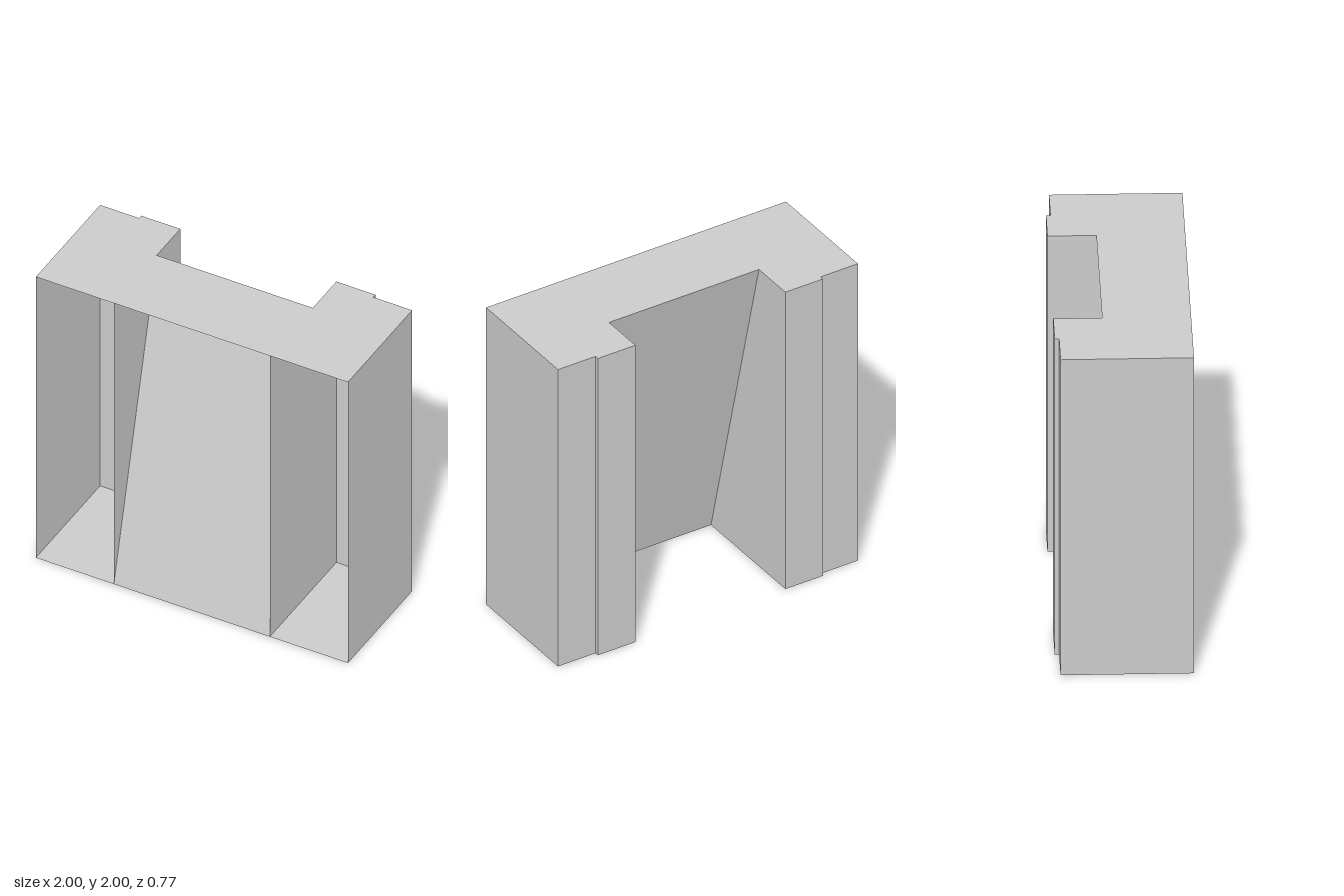
import * as THREE from 'three';

const material = new THREE.MeshStandardMaterial({ color: 0xcccccc, flatShading: true, side: THREE.DoubleSide });
const H = 2, FRONT = 0.3875, BACK = -0.3875, STEP = -0.3625, LEDGE = -0.1125;

function addMesh(parent, name, geometry) {
  const mesh = new THREE.Mesh(geometry, material);
  mesh.name = name;
  parent.add(mesh);
  return mesh;
}

// Upright sheet standing on the ground line between two [x, z] points
function wall(parent, name, [x0, z0], [x1, z1]) {
  const mesh = addMesh(parent, name, new THREE.PlaneGeometry(Math.hypot(x1 - x0, z1 - z0), H));
  mesh.position.set((x0 + x1) / 2, H / 2, (z0 + z1) / 2);
  mesh.rotation.y = Math.atan2(z0 - z1, x1 - x0);
}

// Level sheet with an outline of [x, z] points
function slab(parent, name, outline, y) {
  const shape = new THREE.Shape(outline.map(([x, z]) => new THREE.Vector2(x, -z)));
  addMesh(parent, name, new THREE.ShapeGeometry(shape).rotateX(-Math.PI / 2)).position.y = y;
}

export function createModel() {
  const model = new THREE.Group();
  model.name = 'frame';

  // Plan of one side pier, from the inner front corner around the stepped back
  const pierPlan = (s) => [[0.5, FRONT], [0.5, BACK], [0.75, BACK], [0.75, STEP], [1, STEP], [1, FRONT]]
    .map(([x, z]) => [s * x, z]);
  const wallNames = ['innerWall', 'innerBackWall', 'backStep', 'outerBackWall', 'outerWall'];

  // Two hollow piers, open at the front
  for (const s of [1, -1]) {
    const pier = new THREE.Group();
    pier.name = s > 0 ? 'leftPier' : 'rightPier';
    const plan = pierPlan(s);
    wallNames.forEach((name, i) => wall(pier, name, plan[i], plan[i + 1]));
    slab(pier, 'floor', plan, 0);
    slab(pier, 'pierTop', plan, H);
    model.add(pier);
  }

  // Top sheet bridging the piers
  slab(model, 'bridgeTop', [[-0.5, FRONT], [0.5, FRONT], [0.5, LEDGE], [-0.5, LEDGE]], H);

  // Sloping panel from the front at the ground to the ledge at the top
  const run = FRONT - LEDGE;
  const panel = addMesh(model, 'slopingPanel', new THREE.PlaneGeometry(1, Math.hypot(H, run)));
  panel.position.set(0, H / 2, (FRONT + LEDGE) / 2);
  panel.rotation.x = -Math.atan2(run, H);

  return model;
}
